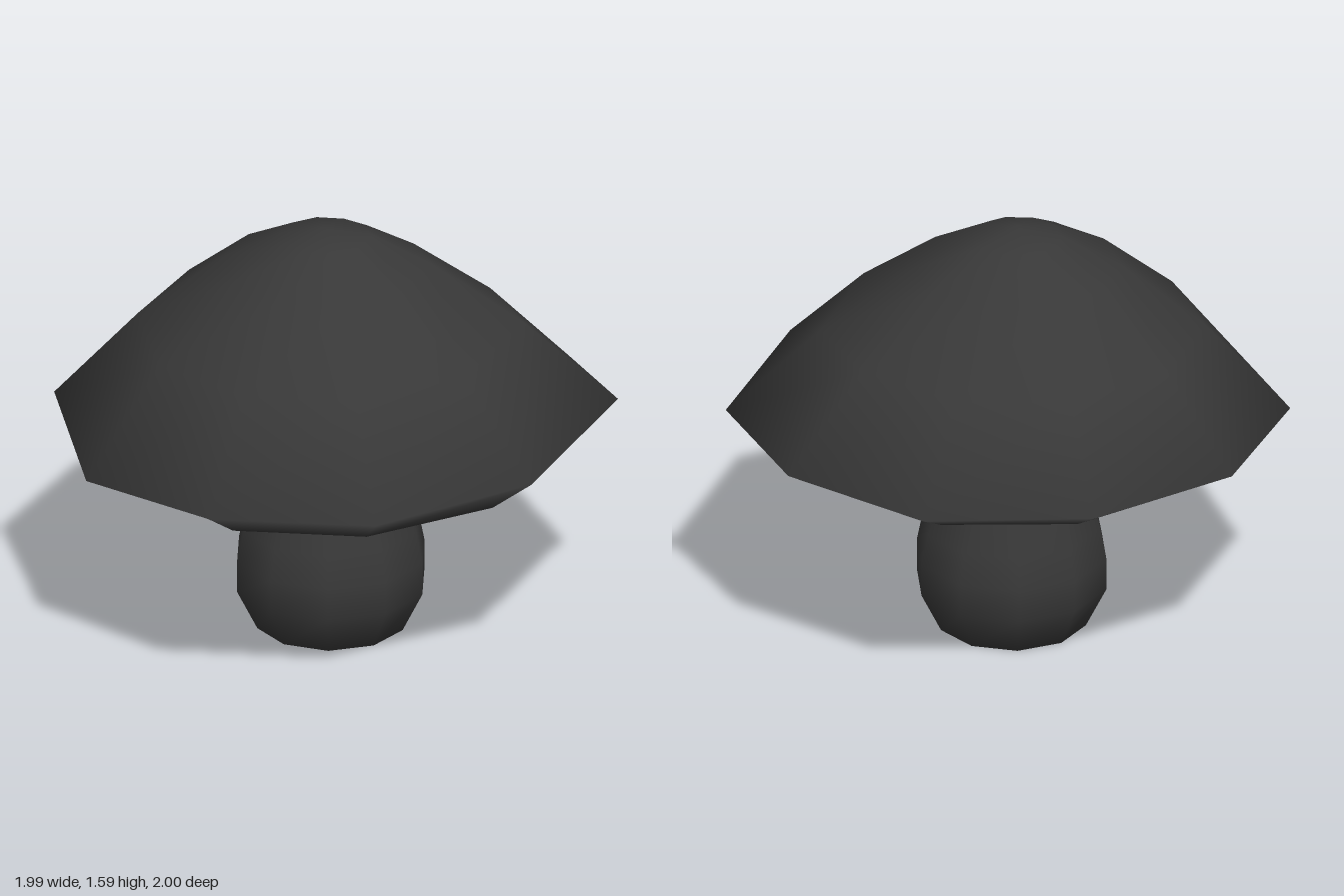
import * as THREE from 'three';

// Closed smooth skin over stacked rings, from a bottom pole to a top pole
function loft(bottom, rings, top) {
  const n = rings[0].length;
  const verts = [bottom, ...rings.flat(), top];
  const last = verts.length - 1;
  const at = (j, i) => 1 + j * n + (i % n);
  const index = [];
  for (let i = 0; i < n; i++) {
    index.push(0, at(0, i), at(0, i + 1));
    for (let j = 0; j < rings.length - 1; j++) {
      const a = at(j, i), b = at(j, i + 1), c = at(j + 1, i + 1), d = at(j + 1, i);
      index.push(a, d, b, b, d, c);
    }
    index.push(at(rings.length - 1, i), last, at(rings.length - 1, i + 1));
  }
  const geo = new THREE.BufferGeometry();
  geo.setAttribute('position', new THREE.Float32BufferAttribute(verts.flat(), 3));
  geo.setIndex(index);
  geo.computeVertexNormals();
  return geo;
}

// Uneven ten-sided rim: x, z, height of the rim, height of the lip under it
const RIM = [
  [0.09, -1.0, 0.85, 0.745], [0.66, -0.75, 0.85, 0.745],
  [0.99, -0.36, 0.895, 0.735], [0.93, 0.4, 0.865, 0.71],
  [0.49, 0.87, 0.83, 0.7], [-0.11, 1.0, 0.82, 0.695],
  [-0.68, 0.75, 0.78, 0.725], [-1.0, 0.21, 0.86, 0.765],
  [-0.93, -0.41, 0.87, 0.765], [-0.52, -0.87, 0.87, 0.755],
];

function capGeometry() {
  const ring = (scale, height, dx = 0) =>
    RIM.map(([x, z, rim, lip]) => [x * scale + dx, height(rim, lip), z * scale]);
  return loft([0, 0.93, 0], [
    // hollow underside
    ring(0.22, () => 0.91),
    ring(0.55, (rim, lip) => 0.805 + 0.6 * (lip - 0.735)),
    ring(0.805, (rim, lip) => lip),
    // rim and dome, leaning slightly to one side
    ring(1, (rim) => rim),
    ring(0.685, (rim) => 1.19 + 0.25 * (rim - 0.85), -0.015),
    ring(0.375, () => 1.435, -0.025),
    ring(0.163, () => 1.55, -0.02),
  ], [-0.02, 1.585, 0.01]);
}

function stemGeometry() {
  const sides = 10;
  // radius, height
  const profile = [[0.28, 0], [0.357, 0.155], [0.357, 0.28], [0.333, 0.4], [0.237, 0.7], [0.17, 0.94]];
  const rings = profile.map(([r, y]) => Array.from({ length: sides }, (_, i) => {
    const a = (i / sides) * Math.PI * 2;
    return [-0.005 + r * Math.cos(a), y, -0.018 + r * Math.sin(a)];
  }));
  return loft([-0.005, 0, -0.018], rings, [-0.005, 0.96, -0.018]);
}

export function createModel() {
  const group = new THREE.Group();
  group.name = 'mushroom';
  const material = new THREE.MeshStandardMaterial({ color: 0x383838 });
  const add = (name, geometry) => {
    const mesh = new THREE.Mesh(geometry, material);
    mesh.name = name;
    group.add(mesh);
  };
  add('cap', capGeometry());
  add('stem', stemGeometry());
  return group;
}
